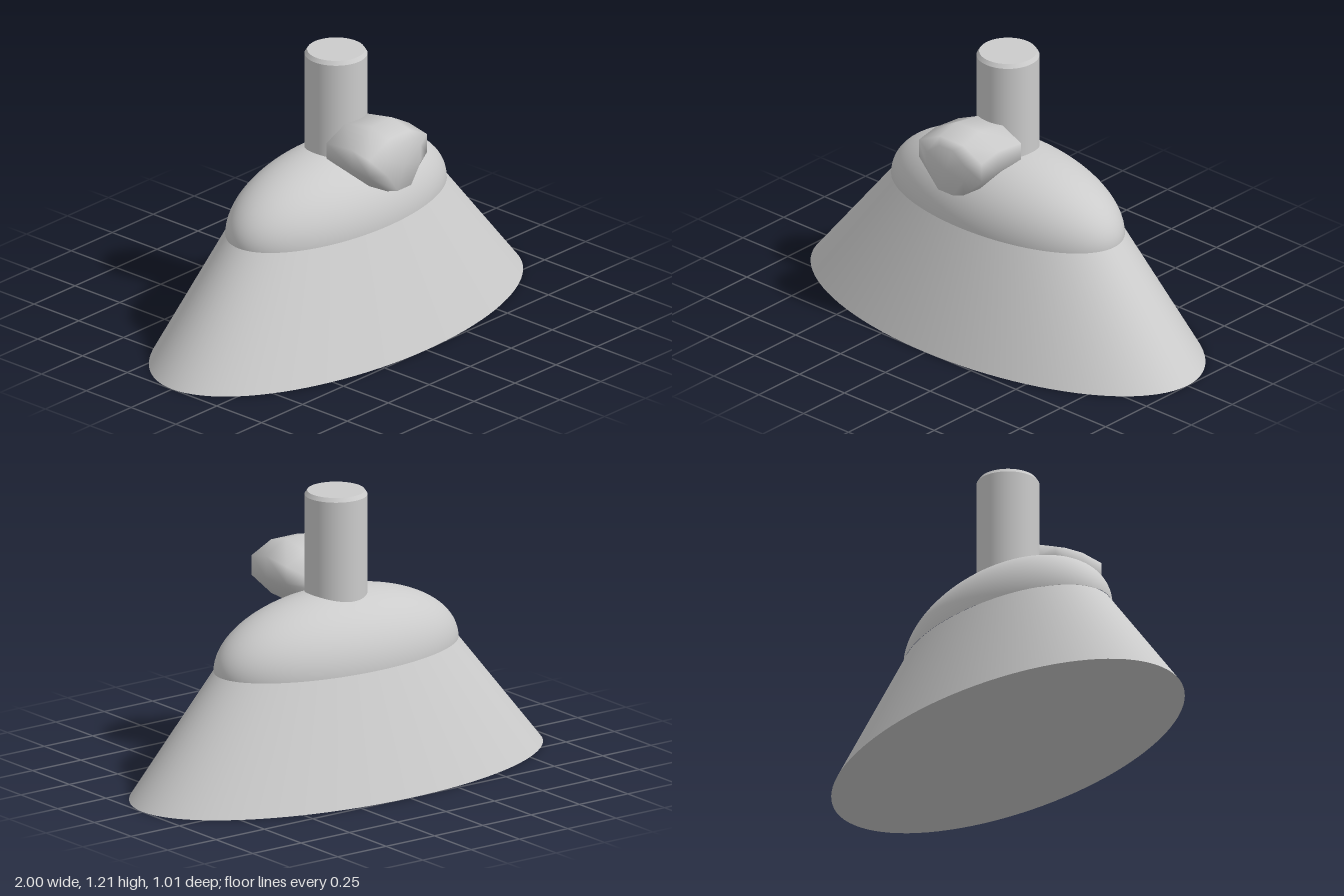
import * as THREE from 'three';

const grey = () => new THREE.MeshStandardMaterial({ color: 0xcccccc });
const v = (x, y) => new THREE.Vector2(x, y);

// Turned part, stretched in x and z to make it oval
function turned(name, profile, sx, sz) {
  const mesh = new THREE.Mesh(new THREE.LatheGeometry(profile, 96), grey());
  mesh.scale.set(sx, 1, sz);
  mesh.name = name;
  return mesh;
}

// Faceted lump with smooth normals: an octagon swept through sections along z
function knobGeometry() {
  const outline = [
    [-0.06, 1], [-0.178, 0.75], [-0.178, 0.42], [-0.07, 0],
    [0.07, 0], [0.172, 0.42], [0.172, 0.78], [0.07, 1],
  ];
  // z, bottom y, top y, width factor
  const sections = [
    [0.075, 0.76, 0.85, 0.55], [0.11, 0.715, 0.925, 1], [0.25, 0.685, 0.95, 1],
    [0.35, 0.692, 0.922, 1], [0.383, 0.695, 0.9, 0.58],
  ];
  const n = outline.length, pos = [], index = [];
  for (const [z, y0, y1, w] of sections)
    for (const [x, t] of outline) pos.push(x * w, y0 + (y1 - y0) * t, z);
  const back = sections.length * n, front = back + 1, last = back - n;
  pos.push(0, 0.805, 0.075, 0, 0.8, 0.385);
  for (let j = 0; j < n; j++) {
    const k = (j + 1) % n;
    for (let i = 0; i < last; i += n) {
      index.push(i + j, i + k, i + n + k, i + j, i + n + k, i + n + j);
    }
    index.push(back, k, j, front, last + j, last + k);
  }
  const g = new THREE.BufferGeometry();
  g.setAttribute('position', new THREE.Float32BufferAttribute(pos, 3));
  g.setIndex(index);
  g.computeVertexNormals();
  return g;
}

export function createModel() {
  const model = new THREE.Group();

  // Flared oval skirt with a closed underside
  model.add(turned('skirt', [v(1, 0), v(0.59, 0.5)], 1, 0.505));
  const underside = new THREE.Mesh(new THREE.CircleGeometry(1, 96), grey());
  underside.rotation.x = Math.PI / 2;
  underside.scale.set(1, 0.505, 1);
  underside.name = 'underside';
  model.add(underside);

  // Half-ellipsoid dome on the skirt
  const dome = new THREE.Mesh(
    new THREE.SphereGeometry(1, 96, 32, 0, Math.PI * 2, 0, Math.PI / 2), grey());
  dome.scale.set(0.592, 0.285, 0.299);
  dome.position.y = 0.5;
  dome.name = 'dome';
  model.add(dome);

  // Upright post with a bevelled, flat top
  const post = new THREE.Group();
  post.name = 'post';
  post.add(
    turned('postShaft', [v(0.13, 0.6), v(0.13, 1.188)], 1, 1),
    turned('postBevel', [v(0.13, 1.188), v(0.119, 1.205)], 1, 1),
    turned('postTop', [v(0.119, 1.205), v(0, 1.205)], 1, 1));
  model.add(post);

  // Knob in front of the post
  const knob = new THREE.Mesh(knobGeometry(), grey());
  knob.name = 'knob';
  model.add(knob);

  return model;
}
